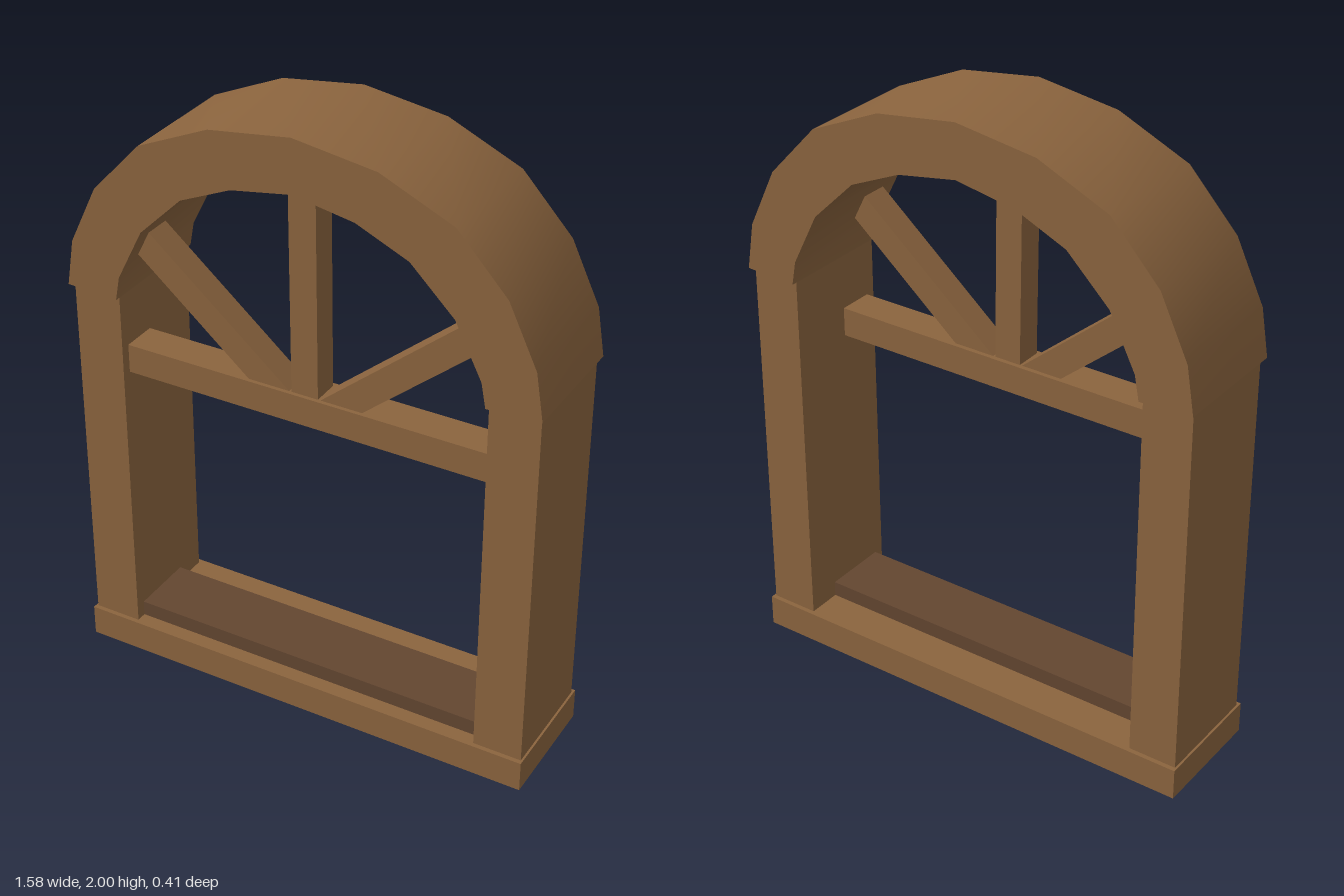
import * as THREE from 'three';
import { toCreasedNormals } from 'three/addons/utils/BufferGeometryUtils.js';

export function createModel() {
  const group = new THREE.Group();
  group.name = 'archedWindowFrame';
  const wood = new THREE.MeshStandardMaterial({ color: 0x8b643e });
  wood.name = 'brown wood';
  const darkWood = new THREE.MeshStandardMaterial({ color: 0x634630 });
  darkWood.name = 'dark wood';

  const add = (name, geometry, material = wood) => {
    const mesh = new THREE.Mesh(geometry, material);
    mesh.name = name;
    group.add(mesh);
    return mesh;
  };
  // box given by its minimum and maximum corners
  const block = (name, [x0, y0, z0], [x1, y1, z1], material) => {
    const mesh = add(name, new THREE.BoxGeometry(x1 - x0, y1 - y0, z1 - z0), material);
    mesh.position.set((x0 + x1) / 2, (y0 + y1) / 2, (z0 + z1) / 2);
    return mesh;
  };

  // sill and the darker raised strip on it
  block('sill', [-0.785, 0, -0.2], [0.785, 0.105, 0.2]);
  block('innerSill', [-0.63, 0.09, -0.07], [0.63, 0.157, 0.15], darkWood);

  // side posts
  block('leftPost', [0.617, 0.1, -0.185], [0.778, 1.335, 0.185]);
  block('rightPost', [-0.778, 0.1, -0.185], [-0.617, 1.335, 0.185]);

  // crossbar at the foot of the fan
  block('crossbar', [-0.63, 1.047, 0.035], [0.63, 1.143, 0.153]);

  // fan spokes, square in section: from a lower point to an upper point
  const spoke = (name, x0, y0, x1, y1) => {
    const dx = x1 - x0, dy = y1 - y0;
    const mesh = add(name, new THREE.BoxGeometry(0.09, Math.hypot(dx, dy), 0.09));
    mesh.position.set((x0 + x1) / 2, (y0 + y1) / 2, 0.095);
    mesh.rotation.z = -Math.atan2(dx, dy);
  };
  spoke('centreSpoke', 0, 1.1, -0.006, 1.85);
  spoke('leftSpoke', 0.06, 1.09, 0.57, 1.52);
  spoke('rightSpoke', -0.06, 1.09, -0.57, 1.52);

  // faceted arch: half outlines from the foot up, mirrored about x = 0
  const outer = [[0.788, 1.333], [0.763, 1.487], [0.67, 1.682], [0.507, 1.857], [0.27, 1.962]];
  const inner = [[0.615, 1.325], [0.6, 1.405], [0.513, 1.578], [0.37, 1.718], [0.2, 1.793]];
  const across = (half, top) => [
    ...half, [0, top], ...half.map(([x, y]) => [-x, y]).reverse(),
  ];
  const outline = [...across(outer, 2), ...across(inner, 1.828).reverse()];
  const shape = new THREE.Shape(outline.map(([x, y]) => new THREE.Vector2(x, y)));
  const arch = new THREE.ExtrudeGeometry(shape, { depth: 0.41, bevelEnabled: false });
  arch.translate(0, 0, -0.205);
  add('arch', toCreasedNormals(arch, 0.7));

  return group;
}
